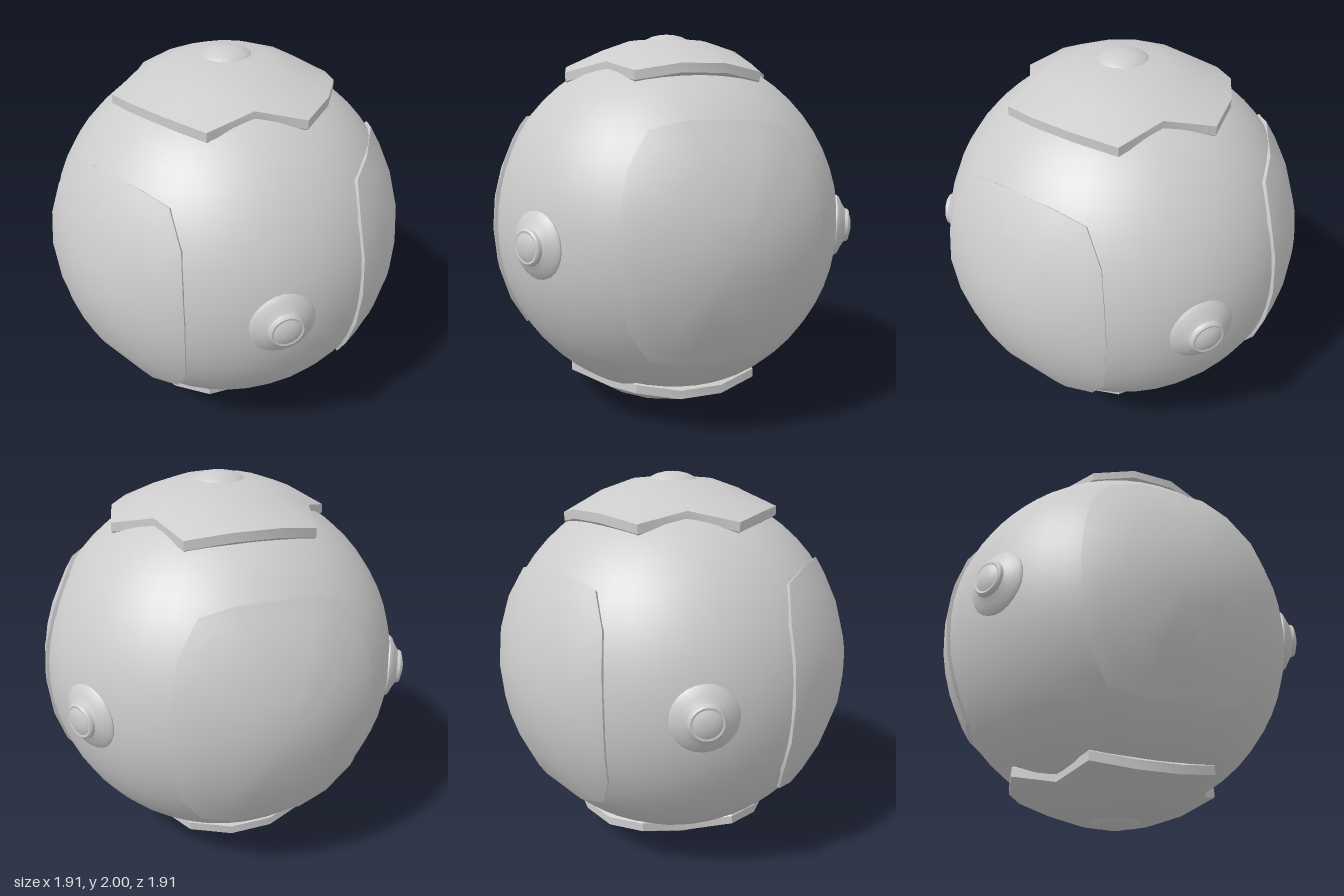
import * as THREE from 'three';
import { toCreasedNormals } from 'three/addons/utils/BufferGeometryUtils.js';

const rad = THREE.MathUtils.degToRad;
const material = new THREE.MeshStandardMaterial({ color: 0xcccccc });
const R = 0.93;
const STUD_ANGLES = [15, 135, 255];
const PANEL_ANGLES = [75, 195, 315];

function add(parent, name, geometry) {
  const mesh = new THREE.Mesh(geometry, material);
  mesh.name = name;
  parent.add(mesh);
  return mesh;
}

// Skin over closed rings of points; the first ring is collapsed to one point
function loft(rings, crease) {
  const n = rings[0].length;
  const positions = rings.flat().flatMap((p) => [p.x, p.y, p.z]);
  const index = [];
  for (let i = 0; i < rings.length - 1; i++) {
    for (let j = 0; j < n; j++) {
      const k = (j + 1) % n;
      const a = i * n + j, b = i * n + k, c = a + n, d = b + n;
      index.push(a, c, d);
      if (i > 0) index.push(a, d, b);
    }
  }
  const g = new THREE.BufferGeometry();
  g.setAttribute('position', new THREE.Float32BufferAttribute(positions, 3));
  g.setIndex(index);
  return toCreasedNormals(g, crease);
}

const polar = (azimuth, radius, y) =>
  new THREE.Vector3(Math.sin(rad(azimuth)) * radius, y, Math.cos(rad(azimuth)) * radius);

const onSphere = (azimuth, latitude, r) =>
  polar(azimuth, Math.cos(rad(latitude)) * r, Math.sin(rad(latitude)) * r);

// Raised side plate: rounded square outline in degrees, facing +z
function panelGeometry() {
  const quarter = [[32.3, 0], [31.8, 12], [30.8, 23], [25.5, 34], [13.5, 37]];
  const upper = [...quarter, ...quarter.slice().reverse().map(([a, l]) => [-a, l])];
  const lower = upper.slice(1, -1).reverse().map(([a, l]) => [a, -l]);
  const outline = [...upper, ...lower];
  const rings = [[0, 0.936], [0.3, 0.937], [0.6, 0.939], [0.85, 0.943], [1, 0.948], [1, 0.9]]
    .map(([s, r]) => outline.map(([a, l]) => onSphere(a * s, l * s, r)));
  return loft(rings, 0.6);
}

// Notched pole plate with three lobes
function capGeometry() {
  const lobe = [[0, 0.455, 0.845], [25, 0.565, 0.795], [48, 0.54, 0.83], [72, 0.54, 0.83], [95, 0.565, 0.795]];
  const rim = STUD_ANGLES.flatMap((start) => lobe.map(([a, r, y]) => [start + a, r, y]));
  const rings = [
    rim.map(() => new THREE.Vector3(0, 0.965, 0)),
    rim.map(([a]) => polar(a, 0.215, 0.96)),
    rim.map(([a]) => polar(a, 0.365, 0.908)),
    rim.map(([a, r, y]) => polar(a, r, y)),
    rim.map(([a, r, y]) => polar(a, r, y - 0.045)),
    rim.map(([a, r, y]) => polar(a, r * 0.9, y - 0.08)),
  ];
  return loft(rings, 0.6);
}

function turned(profile, segments) {
  const points = profile.map(([r, y]) => new THREE.Vector2(r, y));
  return toCreasedNormals(new THREE.LatheGeometry(points, segments), 0.5);
}

export function createModel() {
  const model = new THREE.Group();
  model.name = 'panelledSphere';
  model.position.set(0.02, 1, -0.02);

  add(model, 'core', new THREE.SphereGeometry(R, 40, 28));

  // Side plates
  const panel = panelGeometry();
  for (const angle of PANEL_ANGLES) {
    add(model, 'sidePanel', panel).rotation.y = rad(angle);
  }

  // Stepped round studs on the equator
  const stud = turned([
    [0.14, 0.89], [0.16, 0.9], [0.162, 0.92], [0.15, 0.933], [0.118, 0.948], [0.09, 0.965],
    [0.086, 0.98], [0.078, 0.987], [0.068, 0.985], [0.05, 0.994], [0.025, 0.999], [0, 1],
  ], 24);
  for (const angle of STUD_ANGLES) {
    const mesh = add(model, 'sideStud', stud);
    mesh.rotation.order = 'YXZ';
    mesh.rotation.set(Math.PI / 2, rad(angle), 0);
  }

  // Pole plates with low domes, the lower one flipped about a stud axis
  const cap = capGeometry();
  const dome = turned([[0.14, 0.945], [0.13, 0.96], [0.11, 0.974], [0.08, 0.988], [0.04, 0.997], [0, 1]], 24);
  const axis = polar(STUD_ANGLES[0], 1, 0);
  ['top', 'bottom'].forEach((side, i) => {
    const pole = new THREE.Group();
    pole.name = side + 'Pole';
    pole.setRotationFromAxisAngle(axis, i * Math.PI);
    add(pole, side + 'Cap', cap);
    add(pole, side + 'Dome', dome);
    model.add(pole);
  });

  const root = new THREE.Group();
  root.add(model);
  return root;
}
